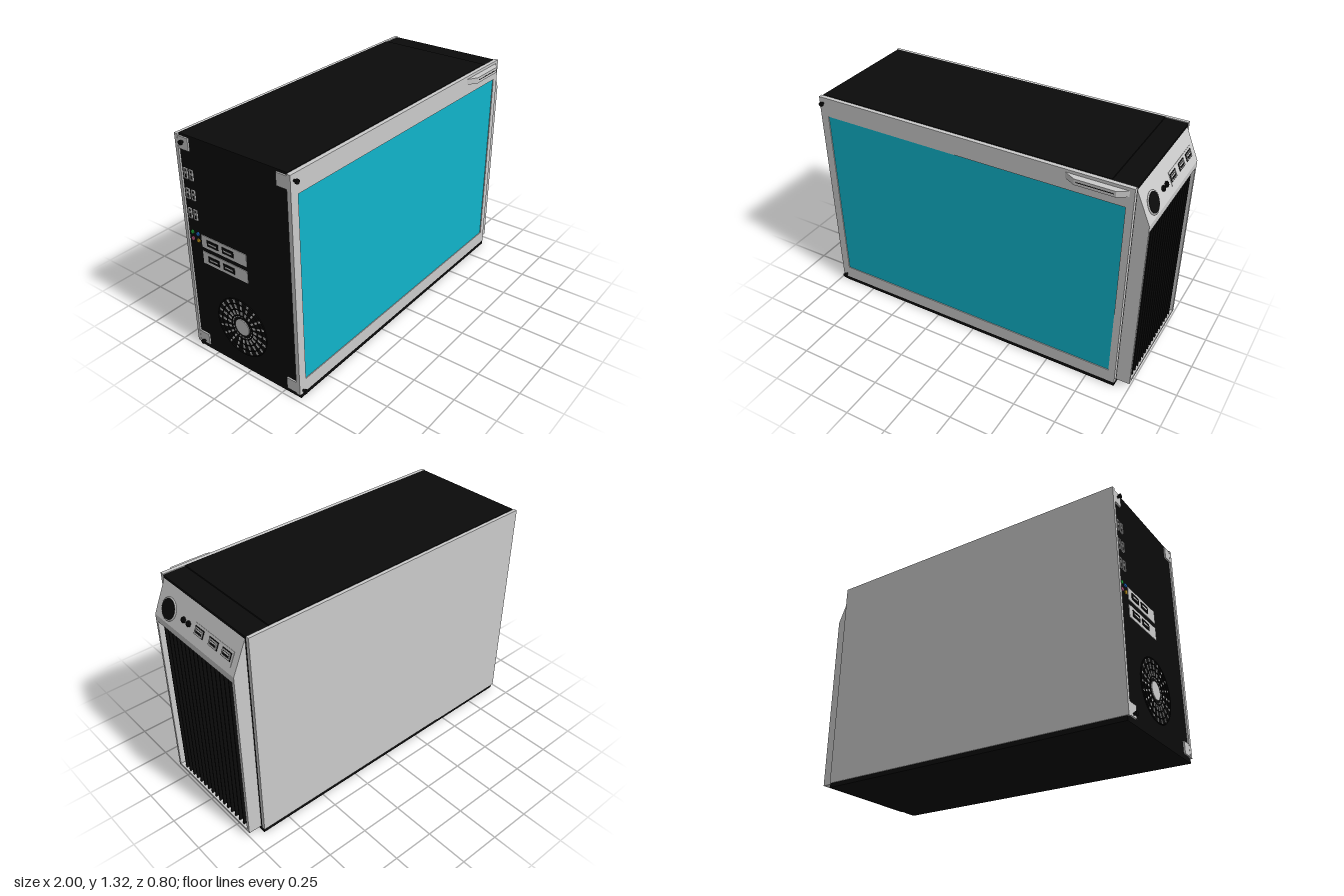
import * as THREE from 'three';

const mat = (color) => new THREE.MeshStandardMaterial({ color });
const GREY = mat(0xcccccc), BLACK = mat(0x0b0b0b), TEAL = mat(0x10b5cb);

function add(parent, name, geo, material, x = 0, y = 0, z = 0) {
  const m = new THREE.Mesh(geo, material);
  m.name = name;
  m.position.set(x, y, z);
  parent.add(m);
  return m;
}

// box given by its limits on each axis
function block(parent, name, material, x0, x1, y0, y1, z0, z1) {
  return add(parent, name, new THREE.BoxGeometry(x1 - x0, y1 - y0, z1 - z0), material,
    (x0 + x1) / 2, (y0 + y1) / 2, (z0 + z1) / 2);
}

// short cylinder whose axis is local z, base at z
function disc(parent, name, material, r, depth, x, y, z = 0, sides = 32) {
  const g = new THREE.CylinderGeometry(r, r, depth, sides).rotateX(Math.PI / 2);
  return add(parent, name, g, material, x, y, z + depth / 2);
}

const poly = (pts) => new THREE.Shape(pts.map(([x, y]) => new THREE.Vector2(x, y)));
const rect = (x0, x1, y0, y1) => [[x0, y0], [x1, y0], [x1, y1], [x0, y1]];

// rectangular frame extruded along z
function frame(outer, inner, depth) {
  const s = poly(rect(...outer));
  s.holes.push(poly(rect(...inner)));
  return new THREE.ExtrudeGeometry(s, { depth, bevelEnabled: false });
}

// thumb screw along local z
function screw(parent, x, y, z) {
  const g = new THREE.Group();
  g.name = 'thumbScrew';
  g.position.set(x, y, z);
  disc(g, 'screwShaft', BLACK, 0.007, 0.018, 0, 0, 0, 12);
  disc(g, 'screwHead', BLACK, 0.013, 0.01, 0, 0, 0.015, 16);
  parent.add(g);
}

// socket: grey rim, dark opening and a grey tongue
function socket(parent, name, x, y, w, h) {
  add(parent, name + 'Rim', frame([-w / 2, w / 2, -h / 2, h / 2],
    [-w / 2 + 0.006, w / 2 - 0.006, -h / 2 + 0.006, h / 2 - 0.006], 0.008), GREY, x, y, 0);
  block(parent, name + 'Opening', BLACK, x - w / 2 + 0.003, x + w / 2 - 0.003,
    y - h / 2 + 0.003, y + h / 2 - 0.003, 0, 0.004);
  block(parent, name + 'Tongue', GREY, x - w * 0.35, x + w * 0.35, y, y + h * 0.2, 0, 0.006);
}

function buildCase(root) {
  block(root, 'core', BLACK, -0.97, 0.92, 0.02, 1.31, -0.38, 0.335);
  block(root, 'topSheet', BLACK, -0.97, 0.79, 1.31, 1.318, -0.378, 0.333);
  block(root, 'basePlate', BLACK, -0.97, 0.92, 0, 0.025, -0.395, 0.358);
  block(root, 'backSidePanel', GREY, -0.98, 0.92, 0.025, 1.315, -0.4, -0.38);

  // windowed side panel
  add(root, 'windowFrame', frame([-0.98, 0.92, 0.025, 1.315], [-0.93, 0.88, 0.105, 1.2], 0.024),
    GREY, 0, 0, 0.335);
  block(root, 'window', TEAL, -0.93, 0.88, 0.105, 1.2, 0.335, 0.354);

  // panel handle: trapezoid with a groove along its face
  const grip = new THREE.ExtrudeGeometry(
    poly([[0.55, 0.355], [0.9, 0.355], [0.84, 0.395], [0.62, 0.395]]),
    { depth: 0.034, bevelEnabled: false }).rotateX(Math.PI / 2);
  add(root, 'panelHandle', grip, GREY, 0, 1.298, 0);
  block(root, 'handleGroove', BLACK, 0.63, 0.83, 1.279, 1.283, 0.39, 0.396);
  for (const y of [0.045, 1.28]) screw(root, -0.955, y, 0.358);
}

function buildFrontBezel(root) {
  const bezel = new THREE.Group();
  bezel.name = 'frontBezel';
  root.add(bezel);

  // lower frame around the grille, turned to face +x (shape x is -z)
  const ring = frame([-0.33, 0.37, 0.03, 1.11], [-0.315, 0.35, 0.045, 1.07], 0.08);
  add(bezel, 'grilleFrame', ring.rotateY(Math.PI / 2), GREY, 0.92, 0, 0);
  block(bezel, 'grilleBack', GREY, 0.92, 0.94, 0.04, 1.08, -0.355, 0.32);
  for (let i = 0; i < 16; i++) {
    const z = 0.266 - i * 0.0382;
    block(bezel, 'grilleFin', BLACK, 0.94, 0.992, 0.045, 1.07, z - 0.0035, z + 0.0035);
  }

  // sloped control head
  const head = new THREE.ExtrudeGeometry(poly([[0.92, 1.11], [1, 1.11], [0.92, 1.295]]),
    { depth: 0.7, bevelEnabled: false });
  add(bezel, 'controlHead', head, GREY, 0, 0, -0.37);

  // controls: local x runs to -z, local z leaves the slope
  const panel = new THREE.Group();
  panel.name = 'controls';
  panel.position.set(0.9697, 1.18, 0);
  panel.rotation.set(0, Math.PI / 2, 0.408, 'ZYX');
  bezel.add(panel);
  add(panel, 'powerButtonRing', new THREE.TorusGeometry(0.058, 0.005, 8, 40), GREY, -0.225, 0, 0.002);
  disc(panel, 'powerButton', BLACK, 0.055, 0.008, -0.225, 0);
  for (const x of [-0.09, -0.045]) {
    disc(panel, 'audioJack', BLACK, 0.016, 0.008, x, 0.003);
    add(panel, 'audioJackRing', new THREE.TorusGeometry(0.012, 0.003, 6, 20), BLACK, x, 0.003, 0.008);
  }
  block(panel, 'portPlate', GREY, 0.01, 0.33, -0.042, 0.038, -0.005, 0.002);
  for (const x of [0.05, 0.172, 0.28]) {
    block(panel, 'portSurround', BLACK, x - 0.037, x + 0.037, -0.02, 0.024, 0, 0.005);
    socket(panel, 'port', x, 0.002, 0.066, 0.036);
  }
}

function buildRear(root) {
  // local x is world z, local z leaves the rear face
  const rear = new THREE.Group();
  rear.name = 'rear';
  rear.position.x = -0.97;
  rear.rotation.y = -Math.PI / 2;
  root.add(rear);

  // corner tabs and screws
  for (const y of [0.03, 1.235]) {
    block(rear, 'cornerTab', GREY, 0.27, 0.335, y, y + 0.07, 0, 0.009);
    block(rear, 'cornerTab', GREY, -0.38, -0.31, y, y + 0.07, 0, 0.009);
  }
  for (const y of [0.045, 1.28]) screw(rear, -0.345, y, 0.004);

  // column of board sockets and coloured jacks
  for (const y of [1.1, 0.985, 0.87])
    for (const x of [-0.355, -0.315]) socket(rear, 'boardSocket', x, y, 0.026, 0.06);
  [0x22bb44, 0x2277dd, 0xdd6699, 0xddaa22].forEach((c, i) =>
    disc(rear, 'soundJack', mat(c), 0.011, 0.006, -0.355 + (i % 2) * 0.04, 0.755 - (i >> 1) * 0.04, 0, 16));

  // expansion card plates
  for (const y of [0.725, 0.625]) {
    block(rear, 'cardPlate', GREY, -0.29, 0.03, y - 0.037, y + 0.037, -0.01, 0.003);
    for (const x of [-0.21, -0.1]) {
      block(rear, 'cardPort', BLACK, x - 0.04, x + 0.04, y - 0.018, y + 0.018, 0, 0.006);
      block(rear, 'cardPortTongue', GREY, x - 0.028, x + 0.028, y - 0.004, y + 0.004, 0, 0.007);
    }
  }

  // power supply fan
  const fan = new THREE.Group();
  fan.name = 'fan';
  fan.position.set(-0.04, 0.275, 0);
  rear.add(fan);
  disc(fan, 'fanHub', GREY, 0.05, 0.005, 0, 0);
  for (let i = 0; i < 20; i++) {
    const blade = new THREE.BoxGeometry(0.105, 0.011, 0.003).translate(0.118, 0, 0.0015);
    add(fan, 'fanBlade', blade, GREY).rotation.z = (i / 20) * Math.PI * 2;
  }
  for (const r of [0.075, 0.11, 0.145, 0.175])
    add(fan, 'fanGuardRing', new THREE.TorusGeometry(r, 0.004, 6, 40), BLACK, 0, 0, 0.004);
}

export function createModel() {
  const root = new THREE.Group();
  root.name = 'computerTower';
  buildCase(root);
  buildFrontBezel(root);
  buildRear(root);
  return root;
}
